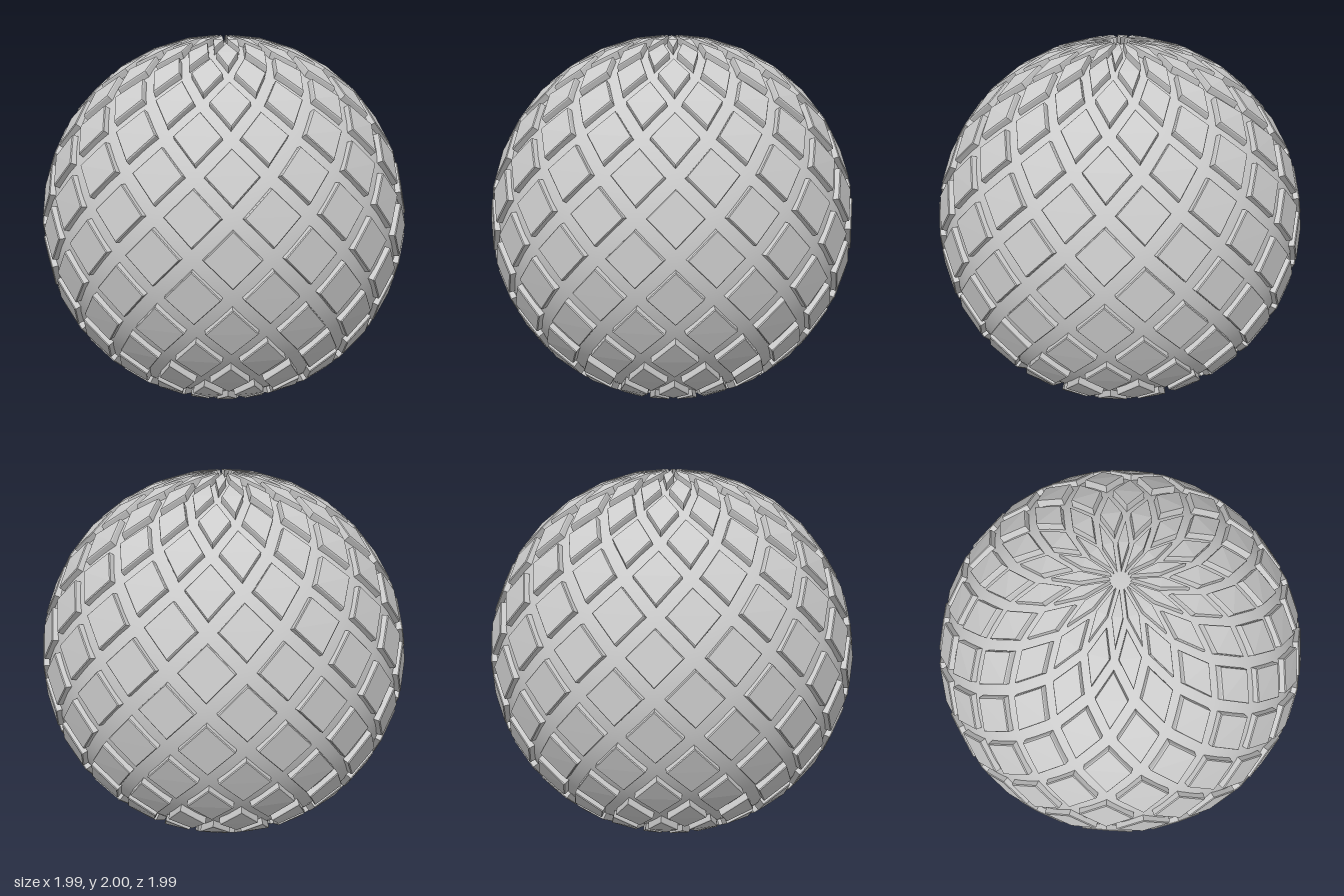
import * as THREE from 'three';

const AROUND = 16;               // panels in each ring
const STEP = Math.PI / AROUND;   // half a panel, in longitude and latitude
const R = 0.978;                 // radius of the diamond lattice
const INSET = 0.74;              // panel size within its lattice cell

// Lattice point; i counts longitude steps, k latitude steps
function point(i, k) {
  const lon = i * STEP, lat = k * STEP;
  return new THREE.Vector3(
    Math.sin(lon) * Math.cos(lat), Math.sin(lat), Math.cos(lon) * Math.cos(lat)
  ).multiplyScalar(R);
}

// Raised diamond plate with a slightly chamfered rim
function panelGeometry(k) {
  const corners = [point(0, k - 1), point(1, k), point(0, k + 1), point(-1, k)];
  const centre = corners.reduce((s, p) => s.add(p), new THREE.Vector3()).multiplyScalar(0.25);
  const normal = corners[1].clone().sub(corners[3])
    .cross(corners[2].clone().sub(corners[0])).normalize();
  const ring = (scale, height) => corners.map((p) =>
    p.clone().sub(centre).multiplyScalar(scale).add(centre).addScaledVector(normal, height));
  const rings = [ring(INSET, -0.02), ring(INSET, 0.025), ring(INSET - 0.03, 0.03)];

  const tri = [];
  for (let r = 0; r < 2; r++) {
    for (let j = 0; j < 4; j++) {
      const n = (j + 1) % 4;
      const [a, b, c, d] = [rings[r][j], rings[r][n], rings[r + 1][n], rings[r + 1][j]];
      tri.push(a, b, c, a, c, d);
    }
  }
  const [s, e, n, w] = rings[2];
  tri.push(s, e, w, e, n, w);
  const geometry = new THREE.BufferGeometry().setFromPoints(tri);
  geometry.computeVertexNormals();
  return geometry;
}

export function createModel() {
  const model = new THREE.Group();
  model.name = 'panelledSphere';
  const smooth = new THREE.MeshStandardMaterial({ color: 0xcccccc });
  const faceted = new THREE.MeshStandardMaterial({ color: 0xcccccc, flatShading: true });

  // Smooth core seen in the grooves
  const core = new THREE.Mesh(new THREE.SphereGeometry(0.966, 64, 48), smooth);
  core.name = 'core';
  core.position.y = 1;
  model.add(core);

  // Rings of panels, each turned half a panel from the next
  for (let k = -7; k <= 7; k++) {
    const ring = new THREE.Group();
    ring.name = 'panelRing';
    ring.position.y = 1;
    const geometry = panelGeometry(k);
    const offset = k % 2 === 0 ? 1 : 0;
    for (let i = 0; i < AROUND; i++) {
      const panel = new THREE.Mesh(geometry, faceted);
      panel.name = 'panel';
      panel.rotation.y = (2 * i + offset) * STEP;
      ring.add(panel);
    }
    model.add(ring);
  }
  return model;
}
